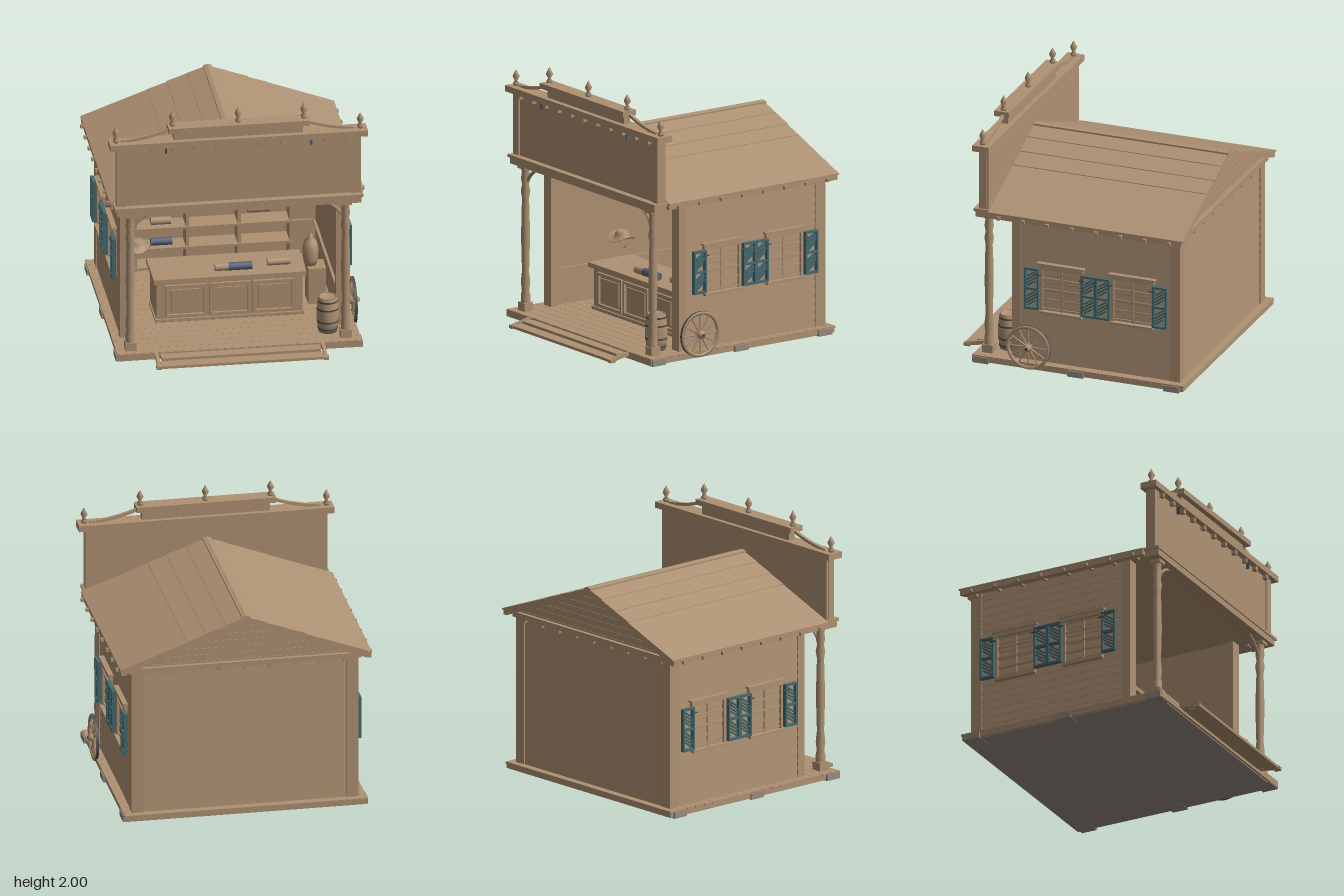
import * as THREE from 'three';

const mat = (name, color) => Object.assign(new THREE.MeshStandardMaterial({ color }), { name });
const wood = mat('wood', 0xae9173);
const stone = mat('stone', 0x958a80);
const teal = mat('teal paint', 0x436a70);
const blue = mat('blue cloth', 0x566078);
const iron = mat('iron', 0x4c4e54);

function add(parent, name, geo, m = wood, pos = [0, 0, 0]) {
  const mesh = new THREE.Mesh(geo, m);
  mesh.name = name;
  mesh.position.set(...pos);
  parent.add(mesh);
  return mesh;
}
// box given by its ranges on each axis
function box(parent, name, x0, x1, y0, y1, z0, z1, m = wood) {
  const g = new THREE.BoxGeometry(Math.abs(x1 - x0), y1 - y0, Math.abs(z1 - z0));
  return add(parent, name, g, m, [(x0 + x1) / 2, (y0 + y1) / 2, (z0 + z1) / 2]);
}
const group = (parent, name) => {
  const g = new THREE.Group();
  g.name = name;
  parent.add(g);
  return g;
};
const lathe = (pts, n) => new THREE.LatheGeometry(pts.map(p => new THREE.Vector2(...p)), n);
// extrude an xy outline between two z values
function slab(pts, z0, z1) {
  const s = new THREE.Shape(pts.map(p => new THREE.Vector2(...p)));
  return new THREE.ExtrudeGeometry(s, { depth: z1 - z0, bevelEnabled: false }).translate(0, 0, z0);
}
// clapboard wall: shallow saw-tooth section facing +x, running along z
function siding(length, y0, y1) {
  const n = 18, h = (y1 - y0) / n, pts = [[-0.05, y0]];
  for (let i = 0; i < n; i++) pts.push([0.008, y0 + i * h], [0.003, y0 + (i + 1) * h]);
  pts.push([-0.05, y1]);
  return slab(pts, -length / 2, length / 2);
}

function buildBase(root) {
  const g = group(root, 'base');
  box(g, 'underside', -0.9, 0.9, 0.006, 0.016, -0.91, 0.74, stone);
  box(g, 'sill', -0.915, 0.915, 0.014, 0.046, -0.925, 0.75);
  box(g, 'frontSkirt', -0.92, 0.92, 0.008, 0.06, 0.75, 0.764);
  for (let i = 0; i < 20; i++) {
    const z = -0.93 + i * 0.0845;
    box(g, 'floorPlank', -0.92, 0.92, 0.045, 0.062, z, z + 0.082);
  }
  for (const s of [-1, 1])
    for (const z of [0.695, -0.065, -0.835]) box(g, 'footing', s * 0.8, s * 0.93, 0.004, 0.052, z - 0.062, z + 0.062, stone);
  // steps and their stringers
  box(g, 'upperStep', -0.6, 0.6, 0.03, 0.05, 0.74, 0.85);
  box(g, 'lowerStep', -0.61, 0.61, 0.004, 0.025, 0.835, 0.935);
  for (const s of [-1, 1]) {
    const str = slab([[0, 0.035], [0.13, 0.012], [0.15, 0], [0.19, 0], [0.19, 0.025], [0.14, 0.038], [0, 0.065]], -0.0125, 0.0125);
    add(g, 'stringer', str.rotateY(-Math.PI / 2), wood, [s * 0.627, 0, 0.745]);
    box(g, 'stringerFoot', s * 0.61, s * 0.648, 0, 0.025, 0.89, 0.94);
  }
}

function buildWindow(parent, s, zc) {
  const g = group(parent, 'window');
  const b = (name, a, c, y0, y1, z0, z1, m) => box(g, name, s * a, s * c, y0, y1, zc + z0, zc + z1, m);
  b('pane', 0.84, 0.849, 0.48, 0.82, -0.16, 0.16);
  for (const e of [-1, 1]) b('jamb', 0.83, 0.87, 0.48, 0.83, e * 0.15, e * 0.17);
  b('mullion', 0.84, 0.86, 0.48, 0.82, -0.007, 0.007);
  for (const y of [0.495, 0.57, 0.65, 0.735, 0.812]) b('glazingBar', 0.84, 0.86, y - 0.006, y + 0.006, -0.15, 0.15);
  b('lintel', 0.83, 0.88, 0.82, 0.85, -0.175, 0.175);
  b('lintelCap', 0.83, 0.89, 0.85, 0.865, -0.188, 0.188);
  b('windowSill', 0.83, 0.89, 0.46, 0.48, -0.17, 0.17);
  // louvred shutters
  for (const e of [-1, 1]) {
    const c = e * 0.228;
    for (const k of [-1, 1]) b('shutterStile', 0.872, 0.903, 0.49, 0.82, c + k * 0.044, c + k * 0.057, teal);
    for (const y of [0.498, 0.655, 0.812]) b('shutterRail', 0.872, 0.903, y - 0.008, y + 0.008, c - 0.05, c + 0.05, teal);
    for (const y0 of [0.54, 0.697])
      for (let i = 0; i < 4; i++) {
        const len = i === 0 || i === 3 ? 0.08 : 0.11;
        const slat = add(g, 'louvre', new THREE.BoxGeometry(0.018, 0.011, len), teal, [s * 0.887, y0 + i * 0.025, zc + c]);
        slat.rotation.x = 0.6;
      }
    b('hinge', 0.895, 0.908, 0.774, 0.782, e * 0.15, e * 0.2, iron);
  }
}

function buildWalls(root) {
  const g = group(root, 'walls');
  for (const s of [-1, 1]) {
    const side = add(g, 'sideWall', siding(1.3, 0.06, 1.22), wood, [s * 0.845, 0, -0.21]);
    side.rotation.y = s > 0 ? 0 : Math.PI;
    box(g, 'frontCornerPost', s * 0.77, s * 0.86, 0.06, 1.22, 0.4, 0.465);
    box(g, 'backCornerPost', s * 0.77, s * 0.86, 0.06, 1.22, -0.88, -0.79);
    box(g, 'chairRail', s * 0.775, s * 0.795, 0.33, 0.345, -0.8, 0.4);
    for (const zc of [0.07, -0.5]) buildWindow(g, s, zc);
  }
  const back = add(g, 'backWall', siding(1.6, 0.06, 1.2), wood, [0, 0, -0.865]);
  back.rotation.y = Math.PI / 2;
  box(g, 'backRail', -0.78, 0.78, 0.33, 0.345, -0.815, -0.795);
  // gable end
  add(g, 'gable', slab([[-0.88, 1.19], [0.88, 1.19], [0.88, 1.22], [0, 1.57], [-0.88, 1.22]], -0.87, -0.82));
  for (let i = 0; i < 6; i++) {
    const y = 1.24 + i * 0.052, w = (1.55 - y) / 0.39;
    box(g, 'gableBoard', -w, w, y, y + 0.005, -0.874, -0.86);
  }
  box(g, 'backBeam', -0.88, 0.88, 1.19, 1.23, -0.9, -0.86);
  for (let i = -4; i <= 4; i++) box(g, 'backJoistEnd', i * 0.19 - 0.015, i * 0.19 + 0.015, 1.166, 1.19, -0.892, -0.86);
}

function buildRoof(root) {
  const g = group(root, 'roof');
  const top = x => 1.597 - 0.378 * x;
  for (const s of [-1, 1]) {
    const q = pts => pts.map(([x, y]) => [s * x, y]);
    add(g, 'roofSlope', slab(q([[0, top(0)], [0.95, top(0.95)], [0.95, 1.195], [0.92, 1.195], [0, 1.555]]), -0.925, 0.62));
    // lapped roof boards
    const e = [0.02, 0.155, 0.305, 0.45, 0.955];
    for (let i = 0; i < 4; i++) {
      const a = e[i], b = e[i + 1], z = -0.932 - (i % 2) * 0.004;
      add(g, 'roofBoard', slab(q([[a, top(a)], [a, top(a) + 0.003], [b, top(b) + 0.008], [b, top(b) - 0.004]]), z, 0.62));
    }
    for (let i = 0; i < 8; i++) {
      const z = -0.83 + i * 0.195;
      box(g, 'rafterTail', s * 0.86, s * 0.972, 1.197, 1.222, z - 0.012, z + 0.012);
    }
  }
  add(g, 'ridgeCap', slab([[-0.032, 1.58], [0, 1.575], [0.032, 1.58], [0.032, 1.602], [0, 1.61], [-0.032, 1.602]], -0.936, 0.62));
}

function buildFacade(root) {
  const g = group(root, 'facade');
  box(g, 'signBoard', -0.918, 0.918, 1.2, 1.73, 0.632, 0.695);
  box(g, 'cornice', -0.97, 0.97, 1.725, 1.772, 0.61, 0.742);
  box(g, 'upperBoard', -0.487, 0.487, 1.77, 1.845, 0.645, 0.7);
  box(g, 'upperCap', -0.53, 0.53, 1.84, 1.882, 0.622, 0.742);
  box(g, 'porchBeam', -0.92, 0.92, 1.18, 1.23, 0.625, 0.735);
  box(g, 'beamMoulding', -0.935, 0.935, 1.228, 1.25, 0.615, 0.745);
  for (let i = -5; i <= 5; i++) box(g, 'dentil', i * 0.163 - 0.014, i * 0.163 + 0.014, 1.692, 1.726, 0.69, 0.73);
  const finial = lathe([[0, 0], [0.02, 0], [0.024, 0.018], [0.01, 0.035], [0.027, 0.07], [0.014, 0.098], [0, 0.123]], 10);
  for (const [x, y] of [[0, 1.88], [-0.495, 1.88], [0.495, 1.88], [-0.92, 1.772], [0.92, 1.772]])
    add(g, 'finial', finial, wood, [x, y, 0.677]);
  const post = lathe([[0.036, 0], [0.036, 0.06], [0.028, 0.09], [0.036, 0.16], [0.027, 0.24], [0.034, 0.5], [0.03, 0.72],
    [0.026, 0.8], [0.036, 0.86], [0.026, 0.91], [0.035, 0.96], [0.028, 1.0], [0.036, 1.04]], 16);
  for (const s of [-1, 1]) {
    box(g, 'pilaster', s * 0.848, s * 0.92, 1.18, 1.73, 0.65, 0.706);
    box(g, 'signHook', s * 0.54, s * 0.553, 1.67, 1.725, 0.695, 0.72, s > 0 ? blue : iron);
    // curved ramps beside the upper board
    const ramp = new THREE.Shape();
    ramp.moveTo(s * 0.88, 1.771);
    ramp.lineTo(s * 0.875, 1.783);
    ramp.quadraticCurveTo(s * 0.68, 1.8, s * 0.515, 1.862);
    ramp.lineTo(s * 0.515, 1.84);
    ramp.quadraticCurveTo(s * 0.66, 1.785, s * 0.8, 1.771);
    add(g, 'ramp', new THREE.ExtrudeGeometry(ramp, { depth: 0.025, bevelEnabled: false }), wood, [0, 0, 0.66]);
    // turned posts and braces
    box(g, 'postBase', s * 0.77, s * 0.852, 0.06, 0.125, 0.628, 0.71);
    add(g, 'post', post, wood, [s * 0.811, 0.12, 0.669]);
    box(g, 'postCap', s * 0.768, s * 0.854, 1.155, 1.185, 0.626, 0.712);
    const arc = new THREE.QuadraticBezierCurve3(new THREE.Vector3(s * 0.785, 1.06, 0.669),
      new THREE.Vector3(s * 0.74, 1.145, 0.669), new THREE.Vector3(s * 0.64, 1.18, 0.669));
    add(g, 'brace', new THREE.TubeGeometry(arc, 10, 0.013, 6));
  }
}

function buildRoll(parent, x0, x1, y, z, r, m = wood) {
  const c = add(parent, 'clothRoll', new THREE.CylinderGeometry(r, r, x1 - x0, 14), m, [(x0 + x1) / 2, y, z]);
  c.rotation.z = Math.PI / 2;
}

function buildHat(parent) {
  const hat = group(parent, 'hat');
  hat.position.set(-0.65, 0.53, -0.1);
  const body = lathe([[0, 0], [0.06, 0], [0.1, 0.002], [0.1, 0.007], [0.058, 0.01], [0.05, 0.05], [0.036, 0.066], [0, 0.058]], 24);
  // curl the brim up at the sides and down at the front and back
  const p = body.attributes.position;
  for (let i = 0; i < p.count; i++) p.setY(i, p.getY(i) + 3 * p.getX(i) ** 2 - 1.5 * p.getZ(i) ** 2);
  body.computeVertexNormals();
  add(hat, 'hatBody', body).rotation.z = -0.06;
  const cord = add(hat, 'chinCord', new THREE.TorusGeometry(0.038, 0.003, 5, 14, Math.PI), wood, [0.015, -0.03, 0]);
  cord.rotation.z = Math.PI;
}

function buildInterior(root) {
  const g = group(root, 'interior');
  // counter with three framed panels
  box(g, 'counter', -0.55, 0.55, 0.06, 0.385, -0.1, 0.23);
  box(g, 'counterTop', -0.575, 0.575, 0.385, 0.42, -0.13, 0.265);
  box(g, 'counterPlinth', -0.56, 0.56, 0.06, 0.085, -0.1, 0.245);
  for (const x of [-0.33, 0, 0.33]) {
    box(g, 'panel', x - 0.11, x + 0.11, 0.14, 0.32, 0.225, 0.242);
    for (const e of [-1, 1]) {
      box(g, 'panelStile', x + e * 0.135, x + e * 0.155, 0.1, 0.36, 0.225, 0.25);
      const y = 0.23 + e * 0.12;
      box(g, 'panelRail', x - 0.155, x + 0.155, y - 0.01, y + 0.01, 0.225, 0.25);
    }
  }
  // shelves on the back wall
  for (const x of [-0.58, -0.19, 0.2, 0.59]) box(g, 'shelfSide', x - 0.012, x + 0.012, 0.06, 0.56, -0.81, -0.65);
  for (const y of [0.09, 0.245, 0.41, 0.555]) box(g, 'shelf', -0.592, 0.602, y - 0.009, y + 0.009, -0.81, -0.64);
  buildRoll(g, -0.46, -0.31, 0.455, -0.7, 0.03);
  buildRoll(g, 0.27, 0.44, 0.505, -0.71, 0.03);
  buildRoll(g, -0.46, -0.3, 0.285, -0.7, 0.03, blue);
  buildRoll(g, -0.1, 0, 0.45, 0.16, 0.03);
  buildRoll(g, 0, 0.18, 0.45, 0.16, 0.031, blue);
  buildRoll(g, 0.3, 0.47, 0.45, 0.12, 0.029);
  buildHat(g);
  // tied sack on a crate
  box(g, 'crate', 0.615, 0.75, 0.06, 0.35, -0.08, 0.08);
  const sack = lathe([[0, 0], [0.045, 0.005], [0.056, 0.05], [0.061, 0.13], [0.048, 0.195], [0.015, 0.222], [0.02, 0.245], [0, 0.255]], 14);
  add(g, 'sack', sack, wood, [0.642, 0.35, 0]);
  add(g, 'sackTie', new THREE.TorusGeometry(0.016, 0.005, 6, 12).rotateX(Math.PI / 2), wood, [0.642, 0.574, 0]);
}

function buildPorchGoods(root) {
  const barrel = group(root, 'barrel');
  barrel.position.set(0.693, 0.062, 0.555);
  add(barrel, 'staves', lathe([[0, 0], [0.07, 0], [0.08, 0.07], [0.085, 0.14], [0.08, 0.21], [0.07, 0.28], [0.062, 0.28], [0.06, 0.265], [0, 0.265]], 18));
  for (const [y, r] of [[0.03, 0.076], [0.09, 0.084], [0.19, 0.084], [0.25, 0.076]])
    add(barrel, 'hoop', new THREE.CylinderGeometry(r, r, 0.014, 18, 1, true), iron, [0, y, 0]);
  const wheel = group(root, 'wagonWheel');
  wheel.position.set(0.919, 0.187, 0.313);
  wheel.rotation.y = Math.PI / 2;
  const rim = lathe([[0.152, -0.01], [0.174, -0.01], [0.174, 0.01], [0.152, 0.01], [0.152, -0.01]], 32);
  add(wheel, 'rim', rim.rotateX(Math.PI / 2));
  add(wheel, 'tyre', new THREE.CylinderGeometry(0.177, 0.177, 0.02, 32, 1, true).rotateX(Math.PI / 2), iron);
  const hub = lathe([[0, -0.042], [0.018, -0.042], [0.032, -0.02], [0.032, 0.02], [0.018, 0.042], [0, 0.042]], 14);
  add(wheel, 'hub', hub.rotateX(Math.PI / 2));
  add(wheel, 'hubCap', new THREE.CylinderGeometry(0.013, 0.013, 0.006, 12).rotateX(Math.PI / 2), iron, [0, 0, 0.043]);
  for (let i = 0; i < 12; i++)
    add(wheel, 'spoke', new THREE.CylinderGeometry(0.005, 0.007, 0.14, 6).translate(0, 0.09, 0)).rotation.z = i * Math.PI / 6;
}

export function createModel() {
  const root = new THREE.Group();
  root.name = 'frontierStore';
  for (const build of [buildBase, buildWalls, buildRoof, buildFacade, buildInterior, buildPorchGoods]) build(root);
  return root;
}
